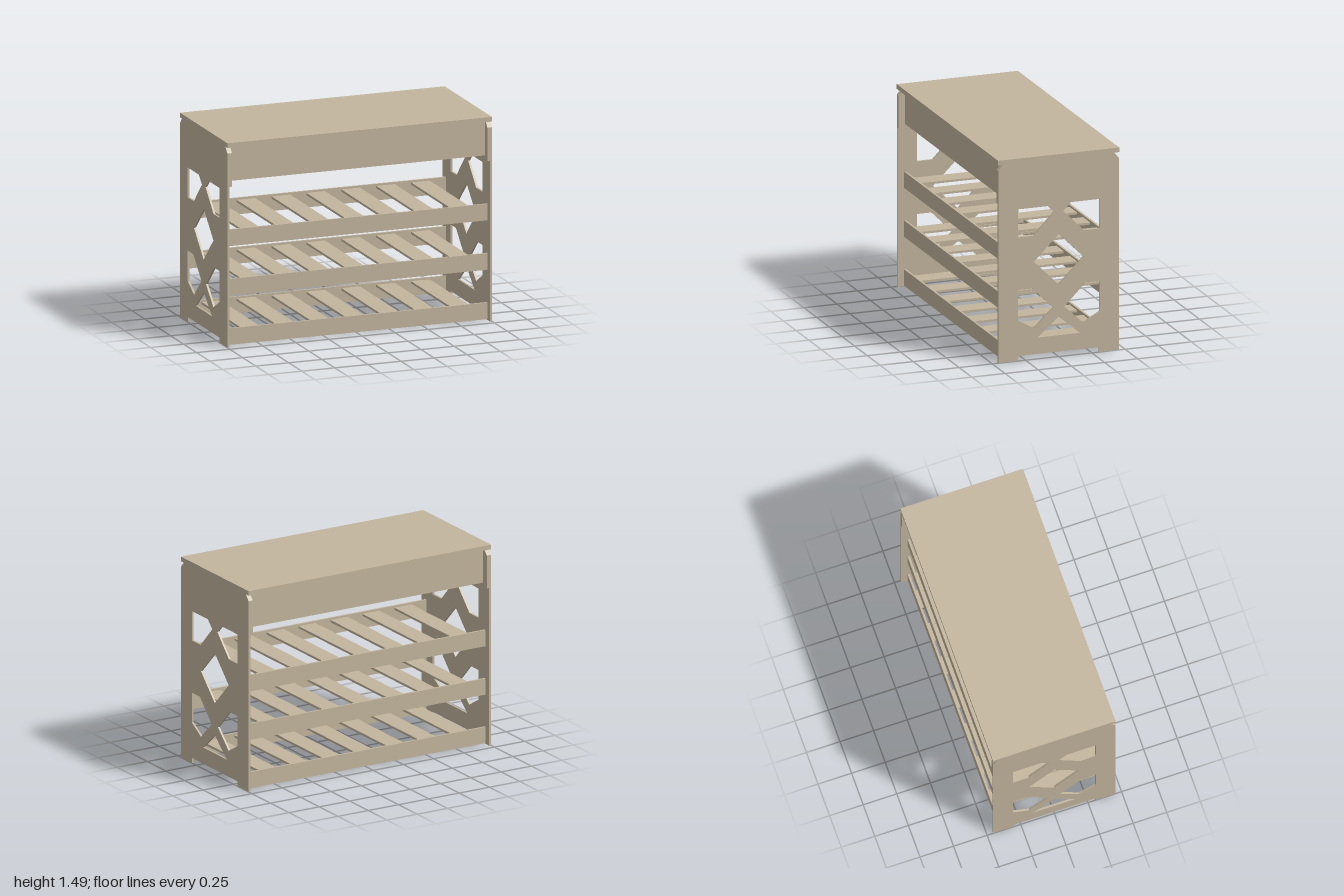
import * as THREE from 'three';

export function createModel() {
  const model = new THREE.Group();
  model.name = 'shelfBench';
  const wood = new THREE.MeshStandardMaterial({ color: 0xc2b59d });
  wood.name = 'paleWood';

  const add = (name, geometry, x = 0, y = 0, z = 0) => {
    const mesh = new THREE.Mesh(geometry, wood);
    mesh.name = name;
    mesh.position.set(x, y, z);
    model.add(mesh);
  };
  // Box given by its lower and upper limits on each axis
  const board = (name, x0, x1, y0, y1, z0, z1) =>
    add(name, new THREE.BoxGeometry(x1 - x0, y1 - y0, z1 - z0),
      (x0 + x1) / 2, (y0 + y1) / 2, (z0 + z1) / 2);
  const points = (list) => list.map(([a, b]) => new THREE.Vector2(a, b));
  // Mirror half an outline to close it symmetrically
  const mirrored = (half) => points([...half, ...half.map(([a, b]) => [-a, b]).reverse()]);
  // Extrude a depth/height outline along x
  const panel = (shape, depth) =>
    new THREE.ExtrudeGeometry(shape, { depth, bevelEnabled: false }).rotateY(Math.PI / 2);

  // Side panel outline: feet at the bottom, chamfered shoulders at the top
  const sideShape = new THREE.Shape(mirrored([
    [0.305, 0.037], [0.305, 0], [0.455, 0], [0.455, 1.412], [0.418, 1.453],
  ]));
  // Lattice cut-outs
  const upper = [[0.308, 1.125], [0.093, 1.125], [0.034, 1.067], [0.19, 0.908], [0.308, 0.908]];
  const lower = [[0.308, 0.521], [0.2, 0.521], [0.042, 0.363], [0.186, 0.229], [0.308, 0.299]];
  for (const s of [-1, 1]) {
    for (const hole of [upper, lower]) {
      sideShape.holes.push(new THREE.Path(points(hole.map(([a, b]) => [a * s, b]))));
    }
  }
  sideShape.holes.push(
    new THREE.Path(points([[0, 0.9], [0.187, 0.715], [0, 0.529], [-0.187, 0.715]])),
    new THREE.Path(points([[0, 0.293], [0.16, 0.157], [-0.16, 0.157]])),
  );
  // Thicker lining at the top of each side
  const cleatShape = new THREE.Shape(mirrored([[0.455, 1.168], [0.455, 1.412], [0.418, 1.453]]));

  add('leftSidePanel', panel(sideShape, 0.015), 0.985);
  add('rightSidePanel', panel(sideShape, 0.015), -1);
  add('leftCleat', panel(cleatShape, 0.02), 0.965);
  add('rightCleat', panel(cleatShape, 0.02), -0.985);

  board('topBoard', -1, 1, 1.453, 1.487, -0.456, 0.456);

  // Front, middle and back aprons under the top
  for (const [name, z] of [['frontApron', 0.391], ['middleApron', 0], ['backApron', -0.391]]) {
    board(name, -0.965, 0.965, 1.198, 1.453, z - 0.015, z + 0.015);
  }

  // Three slatted shelves, each between a front and a back rail
  const slatCount = 7;
  const slatWidth = 0.14;
  const slatGap = (1.97 - slatCount * slatWidth) / (slatCount + 1);
  for (const y of [0.006, 0.365, 0.724]) {
    board('frontRail', -0.985, 0.985, y, y + 0.12, 0.391, 0.407);
    board('backRail', -0.985, 0.985, y, y + 0.12, -0.407, -0.391);
    for (let i = 0; i < slatCount; i++) {
      const x = -0.985 + slatGap + i * (slatWidth + slatGap);
      board('shelfSlat', x, x + slatWidth, y + 0.09, y + 0.106, -0.391, 0.391);
    }
  }
  return model;
}
